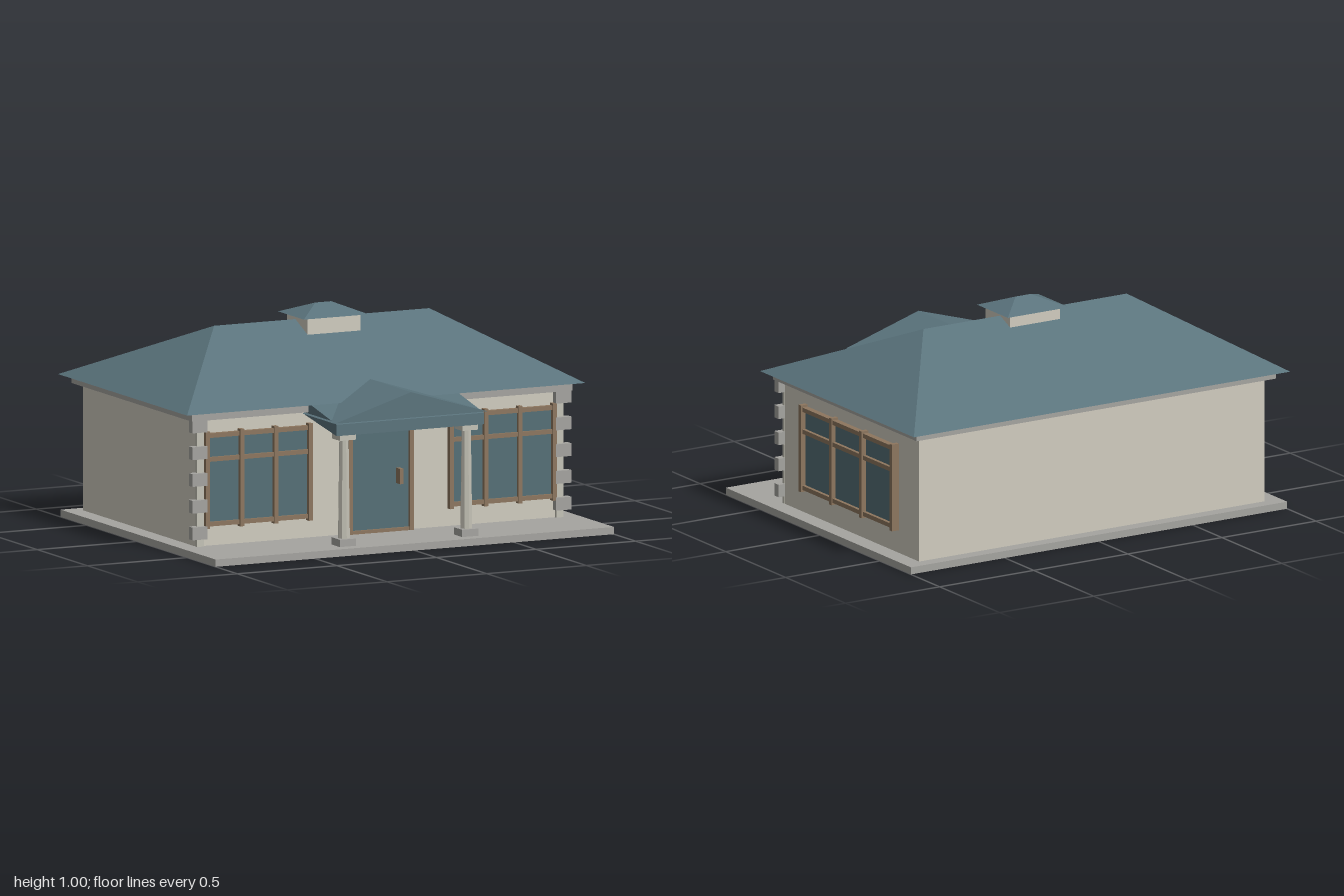
import * as THREE from 'three';

const mat = (color) => new THREE.MeshStandardMaterial({ color, flatShading: true });
const M = {
  wall: mat(0xd0ccbf), stone: mat(0xa5a4a0), pale: mat(0xc4c2b6),
  roof: mat(0x5a737c), glass: mat(0x546e76), wood: mat(0x8d765e),
};

function add(parent, name, geometry, material) {
  const mesh = new THREE.Mesh(geometry, material);
  mesh.name = name;
  parent.add(mesh);
  return mesh;
}

// Box given by its limits on each axis
function box(parent, name, material, [x0, x1], [y0, y1], [z0, z1]) {
  const mesh = add(parent, name, new THREE.BoxGeometry(x1 - x0, y1 - y0, z1 - z0), material);
  mesh.position.set((x0 + x1) / 2, (y0 + y1) / 2, (z0 + z1) / 2);
  return mesh;
}

// Closed hip roof: half width, half depth, half ridge length, height
function hipRoof(w, d, r, h) {
  const A = [-w, 0, d], B = [w, 0, d], C = [w, 0, -d], D = [-w, 0, -d];
  const L = [-r, h, 0], R = [r, h, 0];
  const faces = [A, B, R, A, R, L, B, C, R, C, D, L, C, L, R, D, A, L, A, D, C, A, C, B];
  const geo = new THREE.BufferGeometry();
  geo.setAttribute('position', new THREE.Float32BufferAttribute(faces.flat(), 3));
  geo.computeVertexNormals();
  return geo;
}

// Outline of [a, b] points extruded by a depth
function prism(points, depth) {
  const shape = new THREE.Shape(points.map(([a, b]) => new THREE.Vector2(a, b)));
  return new THREE.ExtrudeGeometry(shape, { depth, bevelEnabled: false });
}

// Three-bay window facing +z, centred on x = 0, with its back on z = 0
function makeWindow(name, halfWidth, y0, y1, yMid, depth) {
  const g = new THREE.Group();
  g.name = name;
  const t = 0.01;
  box(g, 'glass', M.glass, [-halfWidth, halfWidth], [y0 + t, y1 - t], [-0.01, depth * 0.35]);
  for (let i = 0; i < 4; i++) {
    const x = -halfWidth + (2 * halfWidth * i) / 3;
    box(g, 'upright', M.wood, [x - t, x + t], [y0 - 0.01, y1 + 0.01], [-0.01, depth]);
  }
  for (const y of [y0 + t, yMid, y1 - t])
    box(g, 'rail', M.wood, [-halfWidth, halfWidth], [y - t, y + t], [-0.01, depth * 0.8]);
  return g;
}

export function createModel() {
  const house = new THREE.Group();
  house.name = 'house';

  // Base, walls and cornice
  box(house, 'slab', M.stone, [-1, 1], [0, 0.033], [-0.76, 0.785]);
  box(house, 'walls', M.wall, [-0.918, 0.918], [0.033, 0.61], [-0.70, 0.425]);
  box(house, 'cornice', M.stone, [-0.955, 0.955], [0.608, 0.64], [-0.737, 0.46]);

  // Main roof
  add(house, 'mainRoof', hipRoof(1, 0.6425, 0.54, 0.28), M.roof).position.set(0, 0.645, -0.1425);
  box(house, 'eavesBoard', M.stone, [-0.94, 0.94], [0.638, 0.646], [-0.72, 0.445]);

  // Roof vent with its own hipped cap
  box(house, 'ventBox', M.wall, [-0.132, 0.132], [0.82, 0.948], [-0.225, -0.02]);
  add(house, 'ventCap', hipRoof(0.163, 0.129, 0.04, 0.05), M.roof).position.set(0, 0.946, -0.126);

  // Corner stones at both front corners
  for (const s of [-1, 1]) {
    const span = (a, b) => (s > 0 ? [a, b] : [-b, -a]);
    const corner = new THREE.Group();
    corner.name = s > 0 ? 'leftCornerStones' : 'rightCornerStones';
    box(corner, 'narrowStones', M.pale, span(0.885, 0.919), [0.033, 0.608], [0.42, 0.44]);
    for (let i = 0; i < 5; i++) {
      const y = 0.068 + i * 0.1215;
      box(corner, 'wideStone', M.stone, span(0.875, 0.951), [y, y + 0.058], [0.42, 0.457]);
    }
    house.add(corner);
  }

  // Windows: two in front, one on the left wall
  for (const s of [-1, 1]) {
    const front = makeWindow(s > 0 ? 'frontLeftWindow' : 'frontRightWindow', 0.258, 0.123, 0.545, 0.427, 0.028);
    front.position.set(s * 0.613, 0, 0.425);
    house.add(front);
  }
  const side = makeWindow('sideWindow', 0.38, 0.148, 0.532, 0.42, 0.036);
  side.rotation.y = Math.PI / 2;
  side.position.set(0.918, 0, -0.14);
  house.add(side);

  // Door with frame and handle
  const door = new THREE.Group();
  door.name = 'door';
  box(door, 'doorPanel', M.glass, [-0.145, 0.145], [0.045, 0.512], [0.42, 0.437]);
  for (const x of [-0.153, 0.153])
    box(door, 'doorJamb', M.wood, [x - 0.01, x + 0.01], [0.033, 0.527], [0.42, 0.453]);
  box(door, 'doorHead', M.wood, [-0.145, 0.145], [0.507, 0.523], [0.42, 0.45]);
  box(door, 'doorSill', M.wood, [-0.145, 0.145], [0.033, 0.048], [0.42, 0.45]);
  box(door, 'doorHandle', M.wood, [0.08, 0.098], [0.25, 0.32], [0.435, 0.48]);
  house.add(door);

  // Porch: gable over a sloping canopy
  const porch = new THREE.Group();
  porch.name = 'porch';
  const gable = add(porch, 'porchGable', prism([[-0.383, 0.598], [0.383, 0.598], [0, 0.714]], 0.405), M.roof);
  gable.position.z = 0.342;
  const canopy = add(porch, 'porchCanopy',
    prism([[-0.74, 0.54], [-0.42, 0.592], [-0.42, 0.645], [-0.48, 0.645], [-0.74, 0.592]], 0.74), M.roof);
  canopy.rotation.y = Math.PI / 2;
  canopy.position.x = -0.37;

  // Porch columns
  for (const s of [-1, 1]) {
    const column = new THREE.Group();
    column.name = s > 0 ? 'leftColumn' : 'rightColumn';
    box(column, 'columnBase', M.stone, [-0.041, 0.041], [0.033, 0.066], [-0.041, 0.041]);
    add(column, 'columnShaft', new THREE.CylinderGeometry(0.022, 0.028, 0.455, 8), M.pale).position.y = 0.29;
    box(column, 'columnCap', M.pale, [-0.04, 0.04], [0.515, 0.552], [-0.04, 0.04]);
    column.position.set(s * 0.307, 0, 0.688);
    porch.add(column);
  }
  house.add(porch);

  return house;
}
